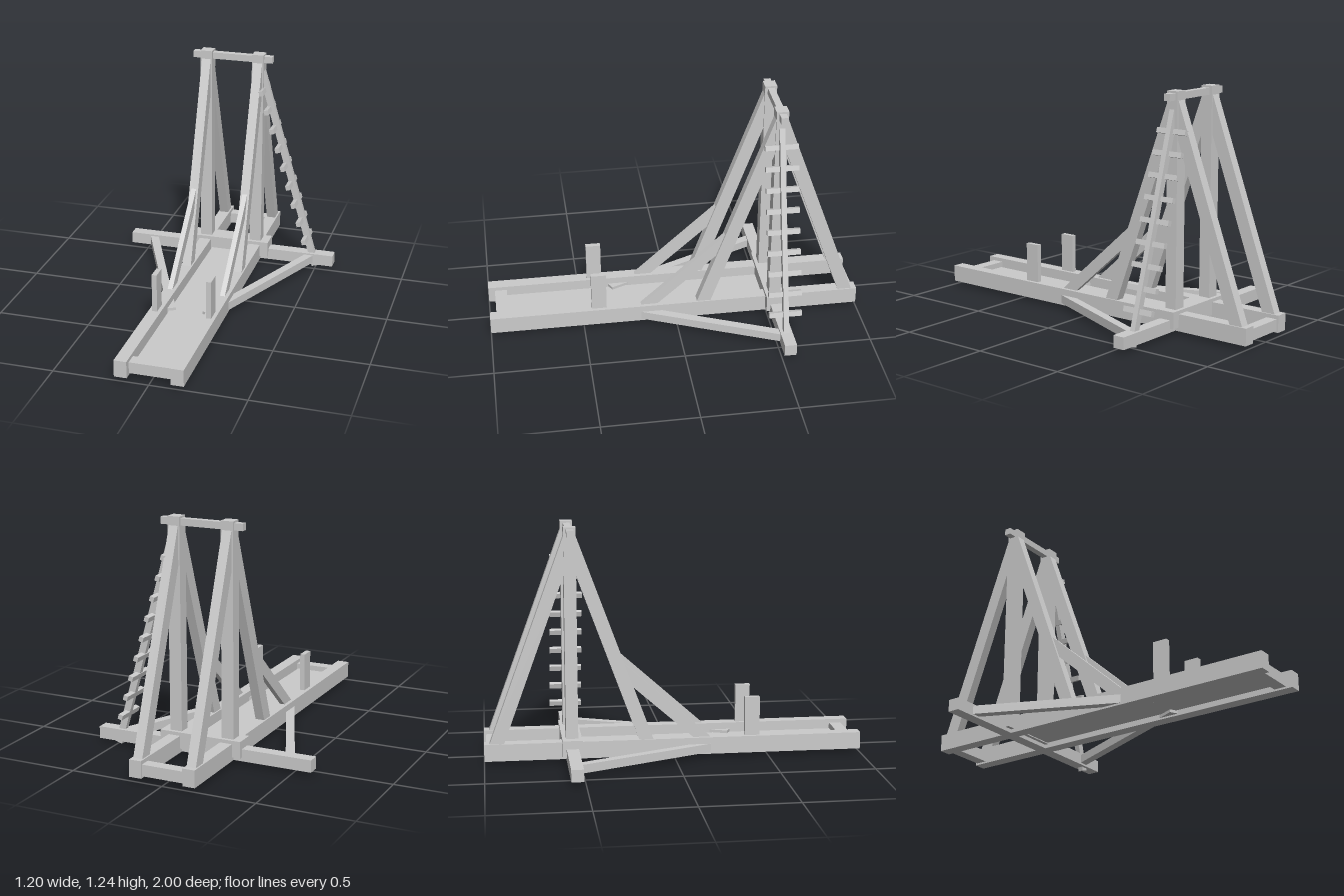
import * as THREE from 'three';

export function createModel() {
  const model = new THREE.Group();
  model.name = 'pileDriver';
  const material = new THREE.MeshStandardMaterial({ color: 0xcccccc, flatShading: true });

  const add = (name, geometry) => {
    const mesh = new THREE.Mesh(geometry, material);
    mesh.name = name;
    model.add(mesh);
    return mesh;
  };

  // Box given by its extents on each axis
  const beam = (name, [x0, x1], [y0, y1], [z0, z1]) =>
    add(name, new THREE.BoxGeometry(x1 - x0, y1 - y0, z1 - z0))
      .position.set((x0 + x1) / 2, (y0 + y1) / 2, (z0 + z1) / 2);

  const extrude = (points, depth) => new THREE.ExtrudeGeometry(
    new THREE.Shape(points.map(([a, b]) => new THREE.Vector2(a, b))),
    { depth, bevelEnabled: false });

  // Timber with a side outline of [z, y] points, centred on x
  const sideTimber = (name, points, x, width) => {
    const g = extrude(points.map(([z, y]) => [-z, y]), width);
    g.rotateY(Math.PI / 2);
    g.translate(x - width / 2, 0, 0);
    add(name, g);
  };

  // Timber with a plan outline of [x, z] points, rising from y
  const planTimber = (name, points, y, height) => {
    const g = extrude(points.map(([x, z]) => [x, -z]), height);
    g.rotateX(-Math.PI / 2);
    g.translate(0, y, 0);
    add(name, g);
  };

  const mastZ = -0.543;

  // Base frame
  beam('floorBoard', [-0.105, 0.105], [0.045, 0.06], [-0.54, 0.91]);
  beam('frontCrossbar', [-0.116, 0.116], [0.03, 0.09], [0.9, 0.965]);
  beam('backCrossbar', [-0.116, 0.116], [0.03, 0.09], [-0.99, -0.93]);
  beam('outriggerBeam', [-0.6, 0.6], [0.02, 0.084], [mastZ - 0.032, mastZ + 0.032]);
  beam('mastSill', [-0.225, 0.225], [0.04, 0.128], [mastZ - 0.052, mastZ + 0.052]);
  beam('topBeam', [-0.225, 0.225], [1.19, 1.226], [mastZ - 0.018, mastZ + 0.018]);

  for (const s of [-1, 1]) {
    const x = s * 0.146;
    const span = (w) => [x - w / 2, x + w / 2];
    beam('rail', span(0.066), [0.02, 0.11], [-1, 1]);
    beam('mast', span(0.066), [0.02, 1.236], [mastZ - 0.032, mastZ + 0.032]);
    beam('guidePost', span(0.027), [0.1, 0.318], [0.375, 0.455]);

    // Long braces leaning on the mast from front and back
    for (const d of [-1, 1]) {
      const outline = [[0.432, 0.1], [0.032, 1.19], [0.032, 0.99], [0.357, 0.1]];
      sideTimber(d > 0 ? 'frontBrace' : 'backBrace',
        outline.map(([z, y]) => [mastZ + d * z, y]), x, 0.05);
    }

    // Short strut propping the front brace
    sideTimber('shortStrut',
      [[0.2, 0.1], [-0.27, 0.52], [-0.22, 0.39], [0.11, 0.1]], x, 0.027);

    // Horizontal stay from outrigger to rail
    planTimber('outriggerStay',
      [[0.49, -0.52], [0.44, -0.52], [0.073, 0.32], [0.113, 0.34]]
        .map(([px, z]) => [s * px, z]), 0.03, 0.045);
  }

  // Single-spar ladder on the left side
  const foot = new THREE.Vector2(0.496, 0.005);
  const head = new THREE.Vector2(0.165, 1.14);
  const lean = Math.atan2(foot.x - head.x, head.y - foot.y);
  const spar = add('ladderSpar', new THREE.BoxGeometry(0.037, foot.distanceTo(head), 0.028));
  spar.position.set((foot.x + head.x) / 2, (foot.y + head.y) / 2, mastZ);
  spar.rotation.z = lean;

  for (let i = 0; i < 9; i++) {
    const rung = add('ladderRung', new THREE.BoxGeometry(0.025, 0.027, 0.175));
    rung.position.set(0.441 - i * 0.0328, 0.173 + i * 0.1077, mastZ);
    rung.rotation.z = lean;
  }

  return model;
}
